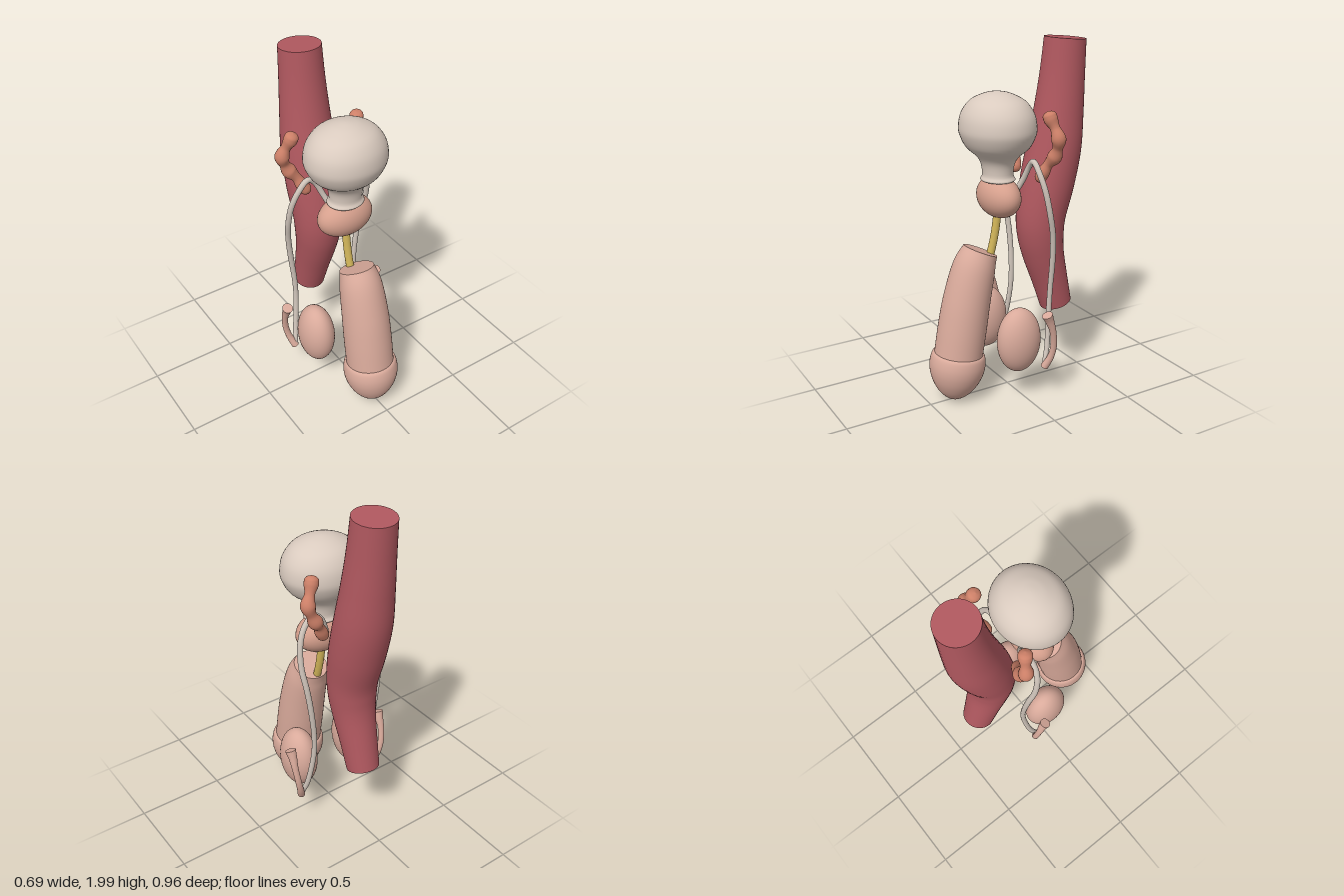
import * as THREE from 'three';

const mat = (name, color) => {
  const m = new THREE.MeshStandardMaterial({ color });
  m.name = name;
  return m;
};

// Closed tube swept along [x, y, z, radius] points; 'round' tapers both ends into domes
function sweep(points, steps = 48, sides = 32, round = 0) {
  const path = new THREE.CatmullRomCurve3(points.map(p => new THREE.Vector3(p[0], p[1], p[2])), false, 'catmullrom');
  const radii = new THREE.CatmullRomCurve3(points.map(p => new THREE.Vector3(p[3], 0, 0)), false, 'catmullrom');
  const pos = [], index = [], ref = new THREE.Vector3(0, 0, 1);
  const ring = (i) => {
    const t = i / steps, c = path.getPoint(t), tan = path.getTangent(t);
    const n = new THREE.Vector3().crossVectors(ref, tan).normalize();
    const b = new THREE.Vector3().crossVectors(tan, n);
    let r = radii.getPoint(t).x;
    const e = Math.min(t, 1 - t);
    if (e < round) r *= Math.sqrt(1 - (1 - e / round) ** 2) + 0.01;
    for (let j = 0; j < sides; j++) {
      const a = j / sides * Math.PI * 2;
      const v = c.clone().addScaledVector(n, r * Math.cos(a)).addScaledVector(b, r * Math.sin(a));
      pos.push(v.x, v.y, v.z);
    }
    return c;
  };
  for (let i = 0; i <= steps; i++) {
    ring(i);
    if (i === steps) break;
    for (let j = 0; j < sides; j++) {
      const k = (j + 1) % sides, a = i * sides;
      index.push(a + j, a + k, a + sides + j, a + k, a + sides + k, a + sides + j);
    }
  }
  // Flat end caps with their own vertices
  for (const i of [0, steps]) {
    const start = pos.length / 3, c = ring(i), mid = pos.length / 3;
    pos.push(c.x, c.y, c.z);
    for (let j = 0; j < sides; j++) {
      const a = start + j, b = start + (j + 1) % sides;
      index.push(mid, ...(i ? [a, b] : [b, a]));
    }
  }
  const g = new THREE.BufferGeometry();
  g.setAttribute('position', new THREE.Float32BufferAttribute(pos, 3));
  g.setIndex(index);
  g.computeVertexNormals();
  return g;
}

// Smooth lathe through [radius, height] points
function lathe(profile) {
  const curve = new THREE.SplineCurve(profile.map(p => new THREE.Vector2(...p)));
  const pts = curve.getPoints(48).map(p => new THREE.Vector2(Math.max(p.x, 0), p.y));
  return new THREE.LatheGeometry(pts, 48);
}

export function createModel() {
  const group = new THREE.Group();
  const skin = mat('skin', 0xd9aa9b), gland = mat('gland', 0xd6a08d), pale = mat('paleTissue', 0xdacbbf);
  const duct = mat('duct', 0xcdc2b8), red = mat('bowelRed', 0xb0585f);
  const coral = mat('coral', 0xcd8068), yellow = mat('yellow', 0xcfb358);

  const add = (name, geometry, material, parent = group) => {
    const m = new THREE.Mesh(geometry, material);
    m.name = name;
    parent.add(m);
    return m;
  };
  const ellipsoid = (name, material, c, r, parent) => {
    const m = add(name, new THREE.SphereGeometry(1, 40, 28), material, parent);
    m.position.set(...c);
    m.scale.set(...r);
  };

  // Bowel behind everything
  add('rectum', sweep([
    [0, 1.992, -0.365, 0.115], [0, 1.8, -0.35, 0.124], [0, 1.6, -0.33, 0.138], [0, 1.4, -0.303, 0.153],
    [0, 1.2, -0.26, 0.154], [0, 1.02, -0.222, 0.142], [0, 0.9, -0.22, 0.133], [0, 0.78, -0.24, 0.12],
    [0, 0.62, -0.285, 0.105], [0, 0.457, -0.33, 0.093],
  ], 60, 48), red);

  // Bladder with its neck
  const bladder = add('bladder', lathe([
    [0, 1.25], [0.1, 1.255], [0.092, 1.285], [0.1, 1.345], [0.128, 1.39], [0.188, 1.44], [0.222, 1.5],
    [0.23, 1.55], [0.214, 1.62], [0.165, 1.683], [0.09, 1.72], [0.035, 1.733], [0, 1.736],
  ]), pale);
  bladder.position.z = 0.06;
  bladder.scale.z = 0.89;

  ellipsoid('prostate', gland, [0, 1.161, 0.055], [0.165, 0.117, 0.106]);

  add('urethra', sweep([
    [0, 1.12, 0.06, 0.022], [0, 1.02, 0.069, 0.022], [0, 0.92, 0.087, 0.022], [0, 0.82, 0.115, 0.022], [0, 0.72, 0.16, 0.022],
  ], 24, 20), yellow);

  // Shaft and head
  add('shaft', sweep([
    [0, 0.868, 0.172, 0.098], [0, 0.77, 0.215, 0.12], [0, 0.6, 0.26, 0.132], [0, 0.44, 0.291, 0.137], [0, 0.27, 0.32, 0.137],
  ], 36, 48), skin);
  const head = add('head', lathe([
    [0, 0], [0.042, 0.012], [0.09, 0.05], [0.128, 0.105], [0.15, 0.16], [0.158, 0.21], [0.154, 0.255], [0.143, 0.279], [0.12, 0.282],
  ]), skin);
  head.position.set(0, 0.008, 0.356);
  head.quaternion.setFromUnitVectors(new THREE.Vector3(0, 1, 0), new THREE.Vector3(0, 0.277, -0.038).normalize());

  // Paired organs, mirrored across x
  for (const s of [1, -1]) {
    const side = new THREE.Group();
    side.name = s > 0 ? 'leftOrgans' : 'rightOrgans';
    group.add(side);
    const mirror = pts => pts.map(([x, y, z, r]) => [x * s, y, z, r]);

    ellipsoid('testis', skin, [0.187 * s, 0.372, 0.037], [0.099, 0.188, 0.13], side);

    add('epididymis', sweep(mirror([
      [0.312, 0.543, -0.068, 0.031], [0.31, 0.505, -0.085, 0.025], [0.31, 0.44, -0.107, 0.019], [0.3, 0.35, -0.122, 0.018],
      [0.282, 0.27, -0.115, 0.019], [0.258, 0.203, -0.088, 0.022],
    ]), 36, 20), skin, side);

    add('spermDuct', sweep(mirror([
      [0.255, 0.215, -0.09, 0.014], [0.232, 0.32, -0.122, 0.015], [0.208, 0.5, -0.145, 0.015], [0.208, 0.65, -0.153, 0.015],
      [0.226, 0.82, -0.154, 0.016], [0.244, 0.97, -0.142, 0.016], [0.257, 1.1, -0.113, 0.016], [0.247, 1.22, -0.09, 0.016],
      [0.212, 1.31, -0.075, 0.016], [0.155, 1.368, -0.073, 0.016], [0.105, 1.335, -0.075, 0.016],
      [0.068, 1.26, -0.062, 0.016], [0.04, 1.19, -0.035, 0.016],
    ]), 90, 16), duct, side);

    // Beaded gland beside the bladder
    add('seminalVesicle', sweep(mirror([
      [0.115, 1.245, -0.125, 0.031], [0.147, 1.3, -0.138, 0.035], [0.172, 1.35, -0.153, 0.027], [0.205, 1.395, -0.17, 0.04],
      [0.23, 1.445, -0.172, 0.028], [0.246, 1.5, -0.166, 0.04], [0.228, 1.555, -0.155, 0.027],
      [0.208, 1.6, -0.141, 0.038], [0.195, 1.643, -0.13, 0.034],
    ]), 80, 20, 0.07), coral, side);
  }
  return group;
}
